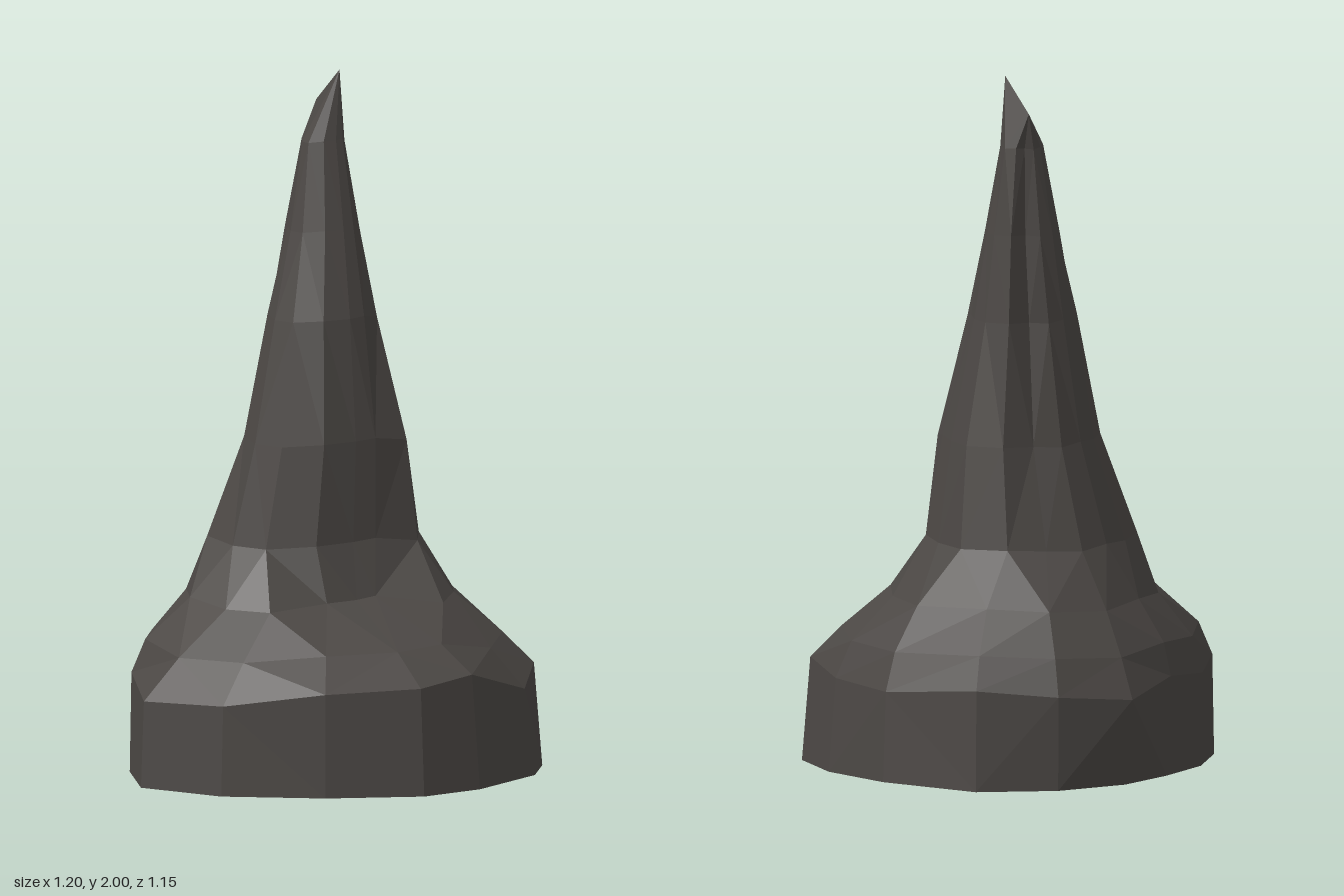
import * as THREE from 'three';

// Directions of the facet corners in degrees, from +x turning towards the front (+z)
const SPOKES = [5, 30, 53, 68, 95, 115, 145, 176, 201, 225, 249, 272, 293, 314, 335];

// Uneven height of the shoulder edge along each spoke
const LIFT = [-0.02, -0.01, 0.02, -0.03, 0.05, 0.03, 0.02, -0.02, -0.03, 0.01, -0.01, 0.01, -0.03, -0.01, 0.01];

// Cross-sections: height, centre x, centre z, then one radius per spoke
const BASE = [
  [0.00, 0, 0, 0.592, 0.592, 0.614, 0.61, 0.575, 0.565, 0.525, 0.58, 0.64, 0.575, 0.545, 0.54, 0.59, 0.635, 0.66],
  [0.28, 0, 0, 0.58, 0.57, 0.59, 0.58, 0.545, 0.545, 0.52, 0.57, 0.63, 0.57, 0.55, 0.555, 0.63, 0.64, 0.65],
  [0.38, 0, 0, 0.54, 0.52, 0.50, 0.48, 0.43, 0.41, 0.40, 0.46, 0.51, 0.53, 0.52, 0.53, 0.57, 0.59, 0.60],
  [0.50, 0, 0, 0.44, 0.39, 0.36, 0.34, 0.18, 0.17, 0.19, 0.315, 0.35, 0.40, 0.42, 0.44, 0.49, 0.50, 0.48],
];
const SPIRE = [
  [0.66, 0.06, -0.08, 0.295, 0.28, 0.29, 0.295, 0.22, 0.21, 0.245, 0.28, 0.29, 0.32, 0.29, 0.285, 0.30, 0.29, 0.32],
  [0.95, 0.07, -0.06, 0.235, 0.215, 0.22, 0.24, 0.19, 0.18, 0.205, 0.235, 0.24, 0.235, 0.22, 0.22, 0.23, 0.215, 0.265],
  [1.30, 0.08, -0.07, 0.155, 0.145, 0.14, 0.155, 0.15, 0.15, 0.16, 0.17, 0.17, 0.165, 0.16, 0.155, 0.155, 0.135, 0.185],
  [1.55, 0.10, -0.08, 0.11, 0.10, 0.095, 0.10, 0.105, 0.105, 0.11, 0.125, 0.12, 0.11, 0.12, 0.12, 0.115, 0.095, 0.13],
  [1.80, 0.12, -0.10, 0.07, 0.06, 0.055, 0.06, 0.07, 0.07, 0.075, 0.085, 0.075, 0.065, 0.065, 0.07, 0.07, 0.06, 0.075],
];
const RINGS = [...BASE, ...SPIRE];

// The tip is a short ridge between a front peak and a lower back peak
const PEAK = new THREE.Vector3(0.14, 2.0, -0.06);
const BACK_PEAK = new THREE.Vector3(0.165, 1.9, -0.16);

function ringPoint(j, i) {
  const k = i % SPOKES.length;
  if (j === RINGS.length) return k > 8 ? BACK_PEAK : PEAK;
  const [y, cx, cz, ...radii] = RINGS[j];
  const a = THREE.MathUtils.degToRad(SPOKES[k]);
  // the foot stays flat, the shoulder's unevenness fades upwards
  const dy = j === 0 ? 0 : LIFT[k] / j;
  return new THREE.Vector3(cx + radii[k] * Math.cos(a), y + dy, cz + radii[k] * Math.sin(a));
}

function rockGeometry() {
  const positions = [];
  const triangle = (a, b, c) => {
    if (a.equals(b) || b.equals(c) || a.equals(c)) return;
    for (const p of [a, b, c]) positions.push(p.x, p.y, p.z);
  };
  for (let j = 0; j < RINGS.length; j++) {
    for (let i = 0; i < SPOKES.length; i++) {
      const a = ringPoint(j, i), b = ringPoint(j, i + 1);
      const c = ringPoint(j + 1, i), d = ringPoint(j + 1, i + 1);
      // split each quad along its shorter diagonal
      if (a.distanceTo(d) < b.distanceTo(c)) {
        triangle(a, c, d);
        triangle(a, d, b);
      } else {
        triangle(a, c, b);
        triangle(b, c, d);
      }
    }
  }
  const geometry = new THREE.BufferGeometry();
  geometry.setAttribute('position', new THREE.Float32BufferAttribute(positions, 3));
  geometry.computeVertexNormals();
  return geometry;
}

export function createModel() {
  const group = new THREE.Group();
  group.name = 'stalagmite';
  // Hollow shell, open underneath
  const material = new THREE.MeshStandardMaterial({
    color: 0x4b4744, flatShading: true, side: THREE.DoubleSide,
  });
  const rock = new THREE.Mesh(rockGeometry(), material);
  rock.name = 'rockSpire';
  group.add(rock);
  return group;
}
